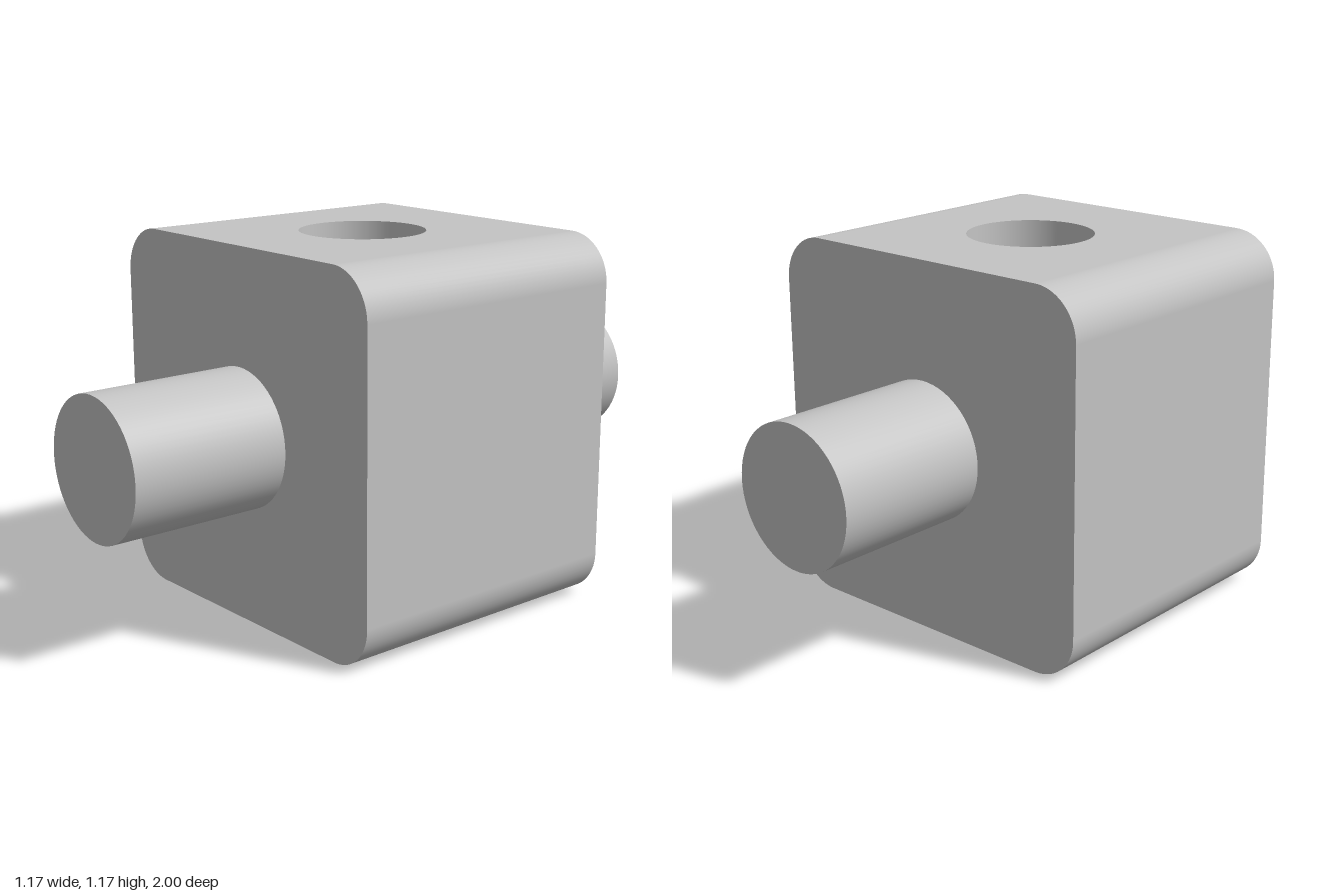
import * as THREE from 'three';
import { mergeGeometries } from 'three/addons/utils/BufferGeometryUtils.js';

const HALF = 0.587;    // half width and half height of the block
const DEPTH = 0.485;   // half depth of the block
const CORNER = 0.147;  // rounded long edges
const FLAT = HALF - CORNER;
const BORE = 0.2;
const SHAFT = 0.22;
const SEG = 64;

function circleHole(radius) {
  return new THREE.Path().absarc(0, 0, radius, 0, Math.PI * 2, true);
}

// Rounded square end face, open where the shaft joins
function endFace() {
  const s = new THREE.Shape();
  s.absarc(FLAT, FLAT, CORNER, 0, Math.PI / 2);
  s.absarc(-FLAT, FLAT, CORNER, Math.PI / 2, Math.PI);
  s.absarc(-FLAT, -FLAT, CORNER, Math.PI, Math.PI * 1.5);
  s.absarc(FLAT, -FLAT, CORNER, Math.PI * 1.5, Math.PI * 2);
  s.holes.push(circleHole(SHAFT));
  return new THREE.ShapeGeometry(s, SEG / 2).translate(0, 0, DEPTH);
}

// Flat rectangle with the bore opening
function boredFace() {
  const s = new THREE.Shape([
    new THREE.Vector2(-FLAT, -DEPTH), new THREE.Vector2(FLAT, -DEPTH),
    new THREE.Vector2(FLAT, DEPTH), new THREE.Vector2(-FLAT, DEPTH),
  ]);
  s.holes.push(circleHole(BORE));
  return new THREE.ShapeGeometry(s, SEG / 2).rotateX(-Math.PI / 2).translate(0, HALF, 0);
}

// Quarter-round edge at lower +x, running along z
function roundedEdge() {
  return new THREE.CylinderGeometry(CORNER, CORNER, DEPTH * 2, 16, 1, true, 0, Math.PI / 2)
    .rotateX(Math.PI / 2).translate(FLAT, -FLAT, 0);
}

// Shaft wall and outer cap, pointing to +z
function shaftGeometry() {
  const length = 1 - DEPTH;
  return mergeGeometries([
    new THREE.CylinderGeometry(SHAFT, SHAFT, length, SEG, 1, true)
      .rotateX(Math.PI / 2).translate(0, 0, DEPTH + length / 2),
    new THREE.CircleGeometry(SHAFT, SEG).translate(0, 0, 1),
  ]);
}

export function createModel() {
  const model = new THREE.Group();
  model.name = 'boredBlockWithShafts';
  const grey = new THREE.MeshStandardMaterial({ color: 0xc4c4c4 });
  grey.name = 'grey';
  const add = (name, geometry) => {
    const mesh = new THREE.Mesh(geometry, grey);
    mesh.name = name;
    mesh.position.y = HALF;
    model.add(mesh);
  };

  // Block shell: rounded edges, plain sides, bored top and bottom, end faces
  const shell = [];
  for (let i = 0; i < 4; i++) shell.push(roundedEdge().rotateZ(i * Math.PI / 2));
  for (let i = 0; i < 2; i++) {
    const turn = i * Math.PI;
    shell.push(
      new THREE.PlaneGeometry(DEPTH * 2, FLAT * 2)
        .rotateY(Math.PI / 2).translate(HALF, 0, 0).rotateY(turn),
      boredFace().rotateX(turn),
      endFace().rotateY(turn),
    );
  }
  add('block', mergeGeometries(shell));

  // Through hole: profile runs downward so the wall faces inward
  add('bore', new THREE.LatheGeometry(
    [new THREE.Vector2(BORE, HALF), new THREE.Vector2(BORE, -HALF)], SEG));

  // Shafts
  add('frontShaft', shaftGeometry());
  add('backShaft', shaftGeometry().rotateY(Math.PI));

  return model;
}
